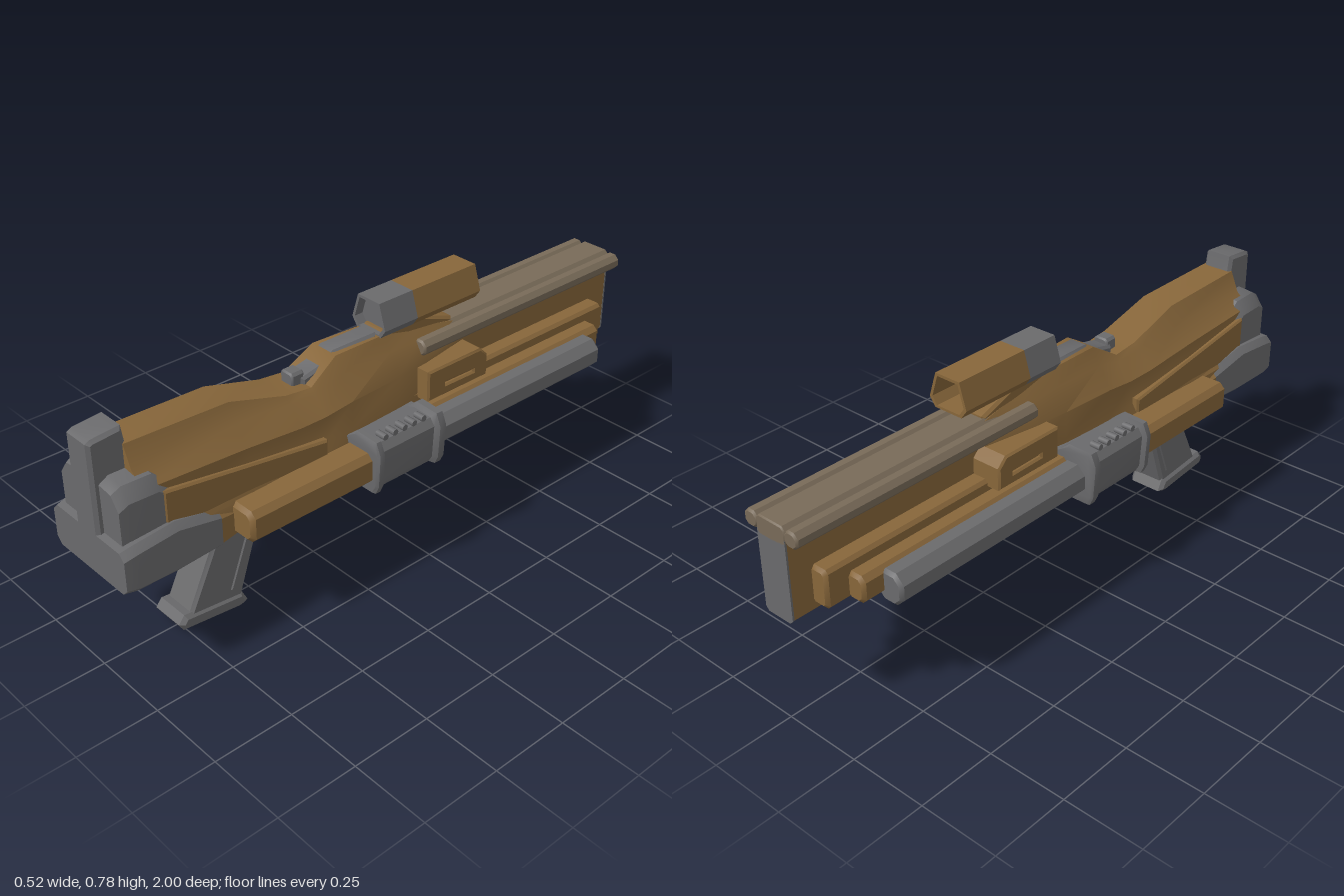
import * as THREE from 'three';
import { toCreasedNormals } from 'three/addons/utils/BufferGeometryUtils.js';

const brown = new THREE.MeshStandardMaterial({ color: 0x87663a });
const gray = new THREE.MeshStandardMaterial({ color: 0x6a6a6c });
const taupe = new THREE.MeshStandardMaterial({ color: 0x786a58 });
brown.name = 'brown casing';
gray.name = 'gray metal';
taupe.name = 'dull taupe rail';

// Closed skin through cross-sections [z, [[x, y], ...]] in rising z, corners counterclockwise
function loft(sections) {
  const pos = [], n = sections[0][1].length;
  const put = (k, j) => { const [z, p] = sections[k]; pos.push(p[j % n][0], p[j % n][1], z); };
  for (let k = 0; k < sections.length - 1; k++)
    for (let j = 0; j < n; j++) {
      put(k, j); put(k, j + 1); put(k + 1, j);
      put(k + 1, j); put(k, j + 1); put(k + 1, j + 1);
    }
  for (const k of [0, sections.length - 1]) {
    const outline = sections[k][1].map(p => new THREE.Vector2(...p));
    for (const [a, b, c] of THREE.ShapeUtils.triangulateShape(outline, []))
      (k ? [a, b, c] : [c, b, a]).forEach(j => put(k, j));
  }
  const g = new THREE.BufferGeometry();
  g.setAttribute('position', new THREE.Float32BufferAttribute(pos, 3));
  return toCreasedNormals(g, 0.6);
}

// Mirrors the right half of a cross-section, listed bottom to top
const mirror = half => [...half, ...half.map(([x, y]) => [-x, y]).reverse()];

// Rectangle with cut corners
const cut = (x0, x1, y0, y1, b) => [[x1 - b, y0], [x1, y0 + b], [x1, y1 - b], [x1 - b, y1],
  [x0 + b, y1], [x0, y1 - b], [x0, y0 + b], [x0 + b, y0]];

// Bar along z with chamfered ends
function bar(x0, x1, y0, y1, z0, z1, b = 0.02, e = 0.01) {
  const inner = cut(x0 + e, x1 - e, y0 + e, y1 - e, b * 0.7), outer = cut(x0, x1, y0, y1, b);
  return loft([[z0, inner], [z0 + e, outer], [z1 - e, outer], [z1, inner]]);
}

// Side outline [z, y] given thickness from x0 to x1
function slab(points, x0, x1, bevel = 0.008, holes = []) {
  const s = new THREE.Shape(points.map(p => new THREE.Vector2(...p)));
  s.holes = holes.map(h => new THREE.Path(h.map(p => new THREE.Vector2(...p))));
  const g = new THREE.ExtrudeGeometry(s, { depth: x1 - x0 - 2 * bevel, bevelEnabled: bevel > 0,
    bevelSize: bevel, bevelThickness: bevel, bevelOffset: -bevel, bevelSegments: 1 });
  g.rotateY(-Math.PI / 2).translate(x1 - bevel, 0, 0);
  return toCreasedNormals(g, 0.6);
}

export function createModel() {
  const model = new THREE.Group();
  model.name = 'blaster';
  const add = (name, geometry, material, parent = model) => {
    const m = new THREE.Mesh(geometry, material);
    m.name = name;
    parent.add(m);
    return m;
  };

  // Receiver: [z, top, top half-width, ridge y, ridge half-width, shoulder y, shoulder half-width, bottom y, bottom half-width]
  add('receiver', loft([
    [-0.3, 0.62, 0.05, 0.6, 0.06, 0.56, 0.07, 0.4, 0.07],
    [-0.12, 0.655, 0.04, 0.62, 0.065, 0.56, 0.1, 0.36, 0.1],
    [0.0, 0.675, 0.045, 0.625, 0.07, 0.56, 0.11, 0.34, 0.12],
    [0.19, 0.68, 0.05, 0.625, 0.075, 0.56, 0.12, 0.335, 0.13],
    [0.29, 0.62, 0.06, 0.605, 0.075, 0.55, 0.12, 0.325, 0.14],
    [0.38, 0.63, 0.06, 0.61, 0.078, 0.555, 0.125, 0.325, 0.14],
    [0.57, 0.685, 0.055, 0.63, 0.08, 0.575, 0.13, 0.325, 0.15],
    [0.9, 0.695, 0.052, 0.63, 0.08, 0.59, 0.125, 0.325, 0.15],
  ].map(([z, t, tw, ry, rw, sy, sw, by, bw]) => [z, mirror([[bw - 0.03, by], [bw, by + 0.025],
    [bw, 0.44], [sw, 0.47], [sw, sy], [rw, ry], [tw, t]])])), brown);

  // Narrow barrel housing with end plate, rails overhanging above
  add('barrelHousing', loft([-0.995, 0].map(z => [z, mirror([[0.042, 0.335], [0.052, 0.345], [0.052, 0.6]])])), brown);
  add('muzzlePlate', loft([-1, -0.994].map(z => [z, mirror([[0.042, 0.333], [0.053, 0.345], [0.053, 0.59]])])), gray);
  add('topRail', bar(-0.055, 0.055, 0.57, 0.63, -1, -0.1, 0.012, 0.004), taupe);

  // Parts repeated on both sides
  for (const side of [1, -1]) {
    const half = new THREE.Group();
    half.name = side > 0 ? 'leftSide' : 'rightSide';
    const span = (a, b) => side > 0 ? [a, b] : [-b, -a];
    const sideBar = (name, x0, x1, y0, y1, z0, z1, m, b, e) =>
      add(name, bar(...span(x0, x1), y0, y1, z0, z1, b, e), m, half);
    const sideSlab = (name, pts, x0, x1, m, b, h) => add(name, slab(pts, ...span(x0, x1), b, h), m, half);

    sideBar('sideRail', 0.05, 0.102, 0.578, 0.628, -1, -0.11, taupe, 0.015, 0.006);
    sideBar('sideTube', 0.13, 0.225, 0.34, 0.44, -0.78, -0.03, gray, 0.028, 0.01);
    sideBar('innerTube', 0.09, 0.16, 0.36, 0.445, -0.85, -0.03, brown, 0.016);
    sideBar('barrelPanel', 0.04, 0.105, 0.36, 0.48, -0.925, -0.03, brown, 0.01);
    sideSlab('slottedBlock', [[-0.33, 0.46], [-0.33, 0.53], [-0.3, 0.56], [-0.08, 0.56], [-0.08, 0.46]],
      0.04, 0.15, brown, 0.006, [[[-0.27, 0.492], [-0.155, 0.494], [-0.155, 0.502], [-0.27, 0.498]]]);
    sideBar('slotFloor', 0.05, 0.138, 0.48, 0.515, -0.29, -0.14, brown, 0.004, 0.002);
    sideBar('rearPod', 0.12, 0.232, 0.345, 0.445, 0.2, 0.645, brown, 0.018, 0.012);
    sideSlab('wedgePanel', [[0.3, 0.44], [0.85, 0.42], [0.85, 0.57], [0.3, 0.49]], 0.1, 0.142, brown, 0.006);
    // Cartridge pegs on the collar
    for (let i = 0; i < 5; i++) {
      const peg = add('collarPeg', new THREE.CylinderGeometry(0.01, 0.01, 0.035, 8), gray, half);
      peg.rotation.z = Math.PI / 2;
      peg.position.set(side * 0.212, 0.481, 0.015 + i * 0.037);
    }
    sideSlab('gripPanel', [[0.505, 0.27], [0.53, 0.27], [0.605, 0.075], [0.58, 0.075]], 0.045, 0.062, gray, 0.004);
    model.add(half);
  }

  // Collar wrapped under the body, with a flange at each end
  const collar = g => mirror([[0.225 + g, 0.322 - g * 0.3], [0.238 + g, 0.345], [0.245 + g, 0.45],
    [0.228 + g, 0.474 + g], [0.16, 0.478 + g], [0.12, 0.46]]);
  add('collar', loft([[-0.05, collar(0.006)], [-0.045, collar(0.015)], [-0.022, collar(0.015)], [-0.012, collar(0)],
    [0.19, collar(0)], [0.195, collar(0.015)], [0.212, collar(0.015)], [0.218, collar(0.006)]]), gray);

  // Butt: broad base, shouldered middle and raised central ridge
  add('buttRoot', loft([[0.63, cut(-0.15, 0.15, 0.324, 0.43, 0.02)], [0.69, cut(-0.16, 0.16, 0.322, 0.44, 0.02)]]), brown);
  add('buttBase', loft([
    [0.69, cut(-0.16, 0.16, 0.32, 0.442, 0.02)],
    [0.83, cut(-0.168, 0.168, 0.318, 0.475, 0.02)], [0.96, cut(-0.17, 0.17, 0.32, 0.465, 0.02)],
    [1, cut(-0.165, 0.165, 0.325, 0.455, 0.02)]]), gray);
  add('buttShoulders', loft([[0.8, 0.575, 0.138], [0.86, 0.62, 0.138], [0.95, 0.622, 0.136], [0.98, 0.605, 0.132]].map(
    ([z, t, w]) => [z, mirror([[w, 0.4], [w, t - 0.045], [w - 0.03, t - 0.004], [0.05, t + 0.002]])])), gray);
  add('buttRidge', slab([[1, 0.33], [1, 0.73], [0.985, 0.738], [0.895, 0.745], [0.88, 0.64], [0.86, 0.58], [0.86, 0.33]],
    -0.052, 0.05, 0.01), gray);

  // Scope: six-sided shell open at the front, gray eyepiece at the rear
  const hex = s => mirror([[0.05, 0.672], [0.07, 0.7], [0.045, 0.78]]).map(([x, y]) => [x * s, 0.722 + (y - 0.722) * s]);
  const shell = new THREE.Shape(hex(1).map(p => new THREE.Vector2(...p)));
  shell.holes.push(new THREE.Path(hex(0.85).map(p => new THREE.Vector2(...p))));
  const tube = (z, depth) => new THREE.ExtrudeGeometry(shell, { depth, bevelEnabled: false }).translate(0, 0, z);
  add('scopeTube', tube(-0.37, 0.26), brown);
  add('scopeEyepiece', tube(-0.11, 0.13), gray);
  add('scopeLens', loft([[-0.12, hex(0.87)], [-0.01, hex(0.87)]]), gray);
  add('scopeMount', slab([[-0.28, 0.6], [-0.28, 0.635], [-0.14, 0.685], [0.0, 0.685], [0.04, 0.6]], -0.045, 0.045), brown);

  // Rear sight
  add('sightRidge', slab([[0.02, 0.64], [0.02, 0.684], [0.18, 0.685], [0.23, 0.655], [0.3, 0.64], [0.3, 0.6]], -0.035, 0.035), gray);
  add('sightKnob', bar(-0.026, 0.026, 0.612, 0.66, 0.285, 0.33, 0.008, 0.005), gray);

  // Grip, its neck and foot
  add('grip', slab([[0.46, 0.32], [0.66, 0.32], [0.645, 0.27], [0.755, 0.04], [0.565, 0.03], [0.49, 0.25]], -0.058, 0.058, 0.01), gray);
  add('gripNeck', bar(-0.06, 0.06, 0.295, 0.33, 0.45, 0.66, 0.01, 0.006), gray);
  add('gripFoot', slab([[0.545, 0.01], [0.575, 0.0], [0.77, 0.02], [0.785, 0.045], [0.765, 0.07], [0.565, 0.05]], -0.067, 0.065, 0.012), gray);

  // Trigger and guard
  add('triggerGuard', slab([[0.27, 0.33], [0.3, 0.27], [0.345, 0.19], [0.48, 0.195], [0.48, 0.33]], -0.025, 0.025, 0.004,
    [[[0.3, 0.315], [0.32, 0.265], [0.36, 0.207], [0.465, 0.21], [0.465, 0.315]]]), gray);
  add('trigger', slab([[0.43, 0.325], [0.46, 0.325], [0.465, 0.27], [0.45, 0.225], [0.44, 0.235], [0.445, 0.27]], -0.012, 0.012, 0.003), gray);

  return model;
}
